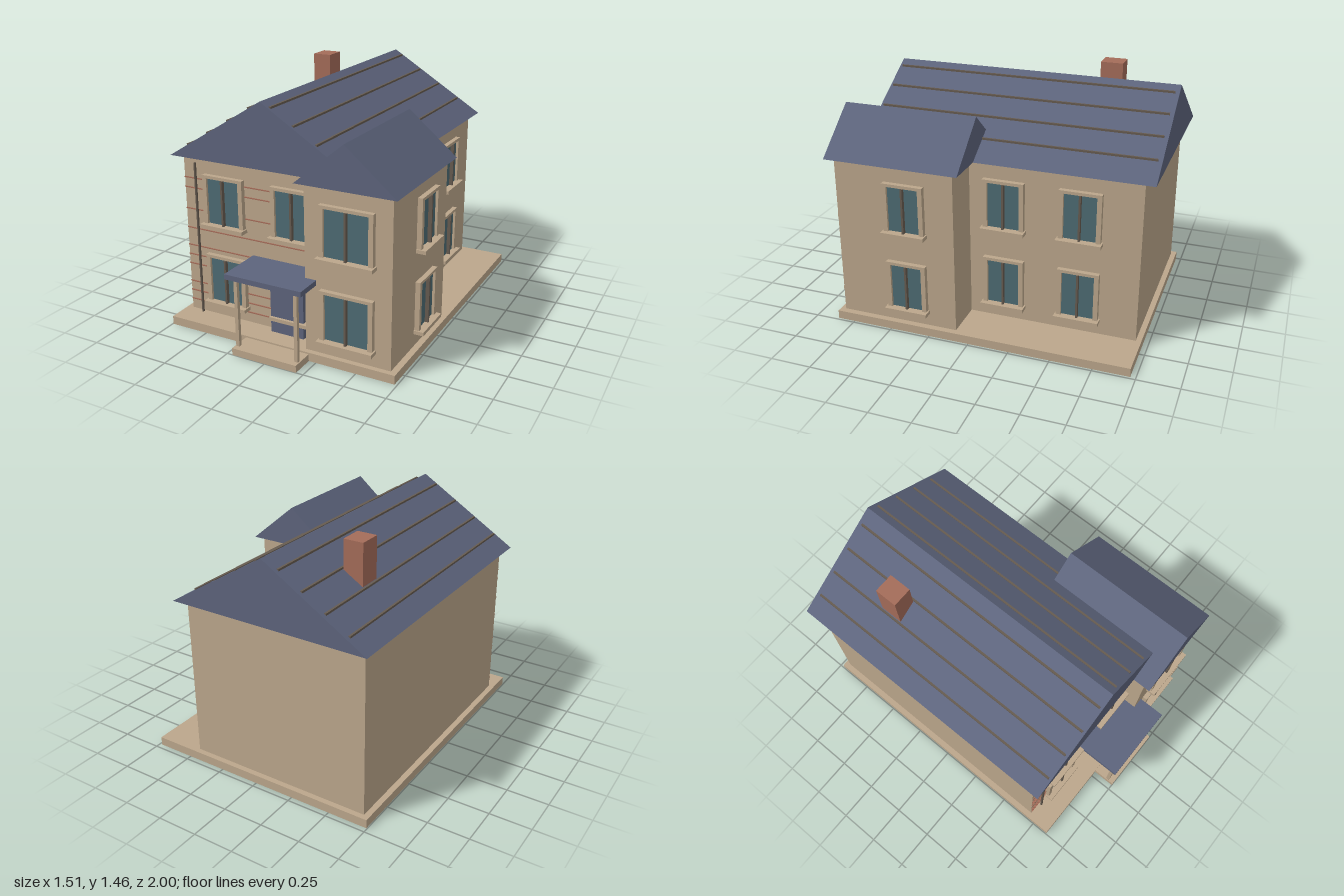
import * as THREE from 'three';

const mat = (name, color) => Object.assign(new THREE.MeshStandardMaterial({ color }), { name });

export function createModel() {
  const house = new THREE.Group();
  house.name = 'house';
  const wall = mat('sandstone', 0xbba68b);
  const slate = mat('slate blue', 0x5d647c);
  const brick = mat('brick red', 0xa46c59);
  const glass = mat('window glass', 0x4d6b73);
  const trim = mat('dark trim', 0x665b50);

  // Box given by its extents on each axis
  const box = (name, material, x0, x1, y0, y1, z0, z1, parent = house) => {
    const mesh = new THREE.Mesh(new THREE.BoxGeometry(x1 - x0, y1 - y0, z1 - z0), material);
    mesh.position.set((x0 + x1) / 2, (y0 + y1) / 2, (z0 + z1) / 2);
    mesh.name = name;
    parent.add(mesh);
    return mesh;
  };

  // Solid gable roof running along z
  const gable = (name, x0, x1, y0, y1, z0, z1) => {
    const s = new THREE.Shape();
    s.moveTo(x0, y0);
    s.lineTo(x1, y0);
    s.lineTo((x0 + x1) / 2, y1);
    s.closePath();
    const mesh = new THREE.Mesh(
      new THREE.ExtrudeGeometry(s, { depth: z1 - z0, bevelEnabled: false }), slate);
    mesh.position.z = z0;
    mesh.name = name;
    house.add(mesh);
  };

  // Plinth and walls
  box('plinth', wall, -0.745, 0.735, 0, 0.053, -0.968, 0.858);
  box('mainWalls', wall, -0.71, 0.45, 0.053, 1.05, -0.935, 0.7);
  box('bayWalls', wall, 0.171, 0.697, 0.053, 1.05, 0.09, 0.826);

  // Roofs
  gable('mainRoof', -0.757, 0.497, 1.05, 1.436, -1, 0.763);
  gable('bayRoof', 0.133, 0.737, 1.05, 1.303, 0.046, 0.872);
  for (let i = 0; i < 8; i++) {
    const x = -0.64 + i * 0.141;
    const y = 1.436 - Math.abs(x + 0.13) * (0.386 / 0.627);
    box('roofSeam', trim, x - 0.006, x + 0.006, y - 0.008, y + 0.008, -0.975, 0.747);
  }
  box('chimney', brick, -0.488, -0.367, 1.1, 1.464, -0.602, -0.463);

  // Brick courses on the front wall
  for (const y of [0.118, 0.178, 0.239, 0.357, 0.418, 0.479, 0.592, 0.714, 0.848, 0.909])
    box('brickCourse', brick, -0.71, 0.171, y - 0.003, y + 0.003, 0.698, 0.706);

  // Window built facing +z, with its wall plane at z = 0
  const addWindow = (x, z, width, y, turn = 0) => {
    const g = new THREE.Group();
    g.name = 'window';
    const w = width / 2, h = 0.298, f = 0.028;
    box('pane', glass, -w + f, w - f, 0, h - 0.02, 0, 0.014, g);
    box('lintel', wall, -w, w, h - 0.018, h, 0, 0.03, g);
    for (const s of [-1, 1]) {
      const c = s * (w - f / 2);
      box('jamb', wall, c - f / 2, c + f / 2, 0, h - 0.018, 0, 0.03, g);
    }
    box('mullion', trim, -0.006, 0.006, 0, h - 0.018, 0, 0.037, g);
    box('sill', wall, -w - 0.009, w + 0.009, -0.021, 0.001, 0, 0.06, g);
    g.position.set(x, y, z);
    g.rotation.y = turn;
    house.add(g);
  };
  for (const y of [0.153, 0.65]) {
    addWindow(-0.43, 0.7, 0.272, y);
    addWindow(0.03, 0.7, 0.272, y);
    addWindow(0.435, 0.826, 0.324, y);
    addWindow(0.697, 0.39, 0.25, y, Math.PI / 2);
    for (const z of [-0.125, -0.582]) addWindow(0.45, z, 0.25, y, Math.PI / 2);
  }

  // Entrance: door, step, posts and flat canopy
  box('door', slate, -0.113, 0.106, 0.053, 0.414, 0.7, 0.742);
  box('step', wall, -0.215, 0.205, 0, 0.043, 0.69, 1);
  for (const x of [-0.199, 0.186])
    box('porchPost', wall, x - 0.011, x + 0.011, 0.043, 0.463, 0.943, 0.965);
  box('porchCanopy', slate, -0.25, 0.241, 0.463, 0.494, 0.695, 0.993);

  // Downpipe
  const pipe = new THREE.Mesh(new THREE.CylinderGeometry(0.008, 0.008, 0.957, 10), trim);
  pipe.position.set(-0.622, 0.5315, 0.716);
  pipe.name = 'downpipe';
  house.add(pipe);

  return house;
}
